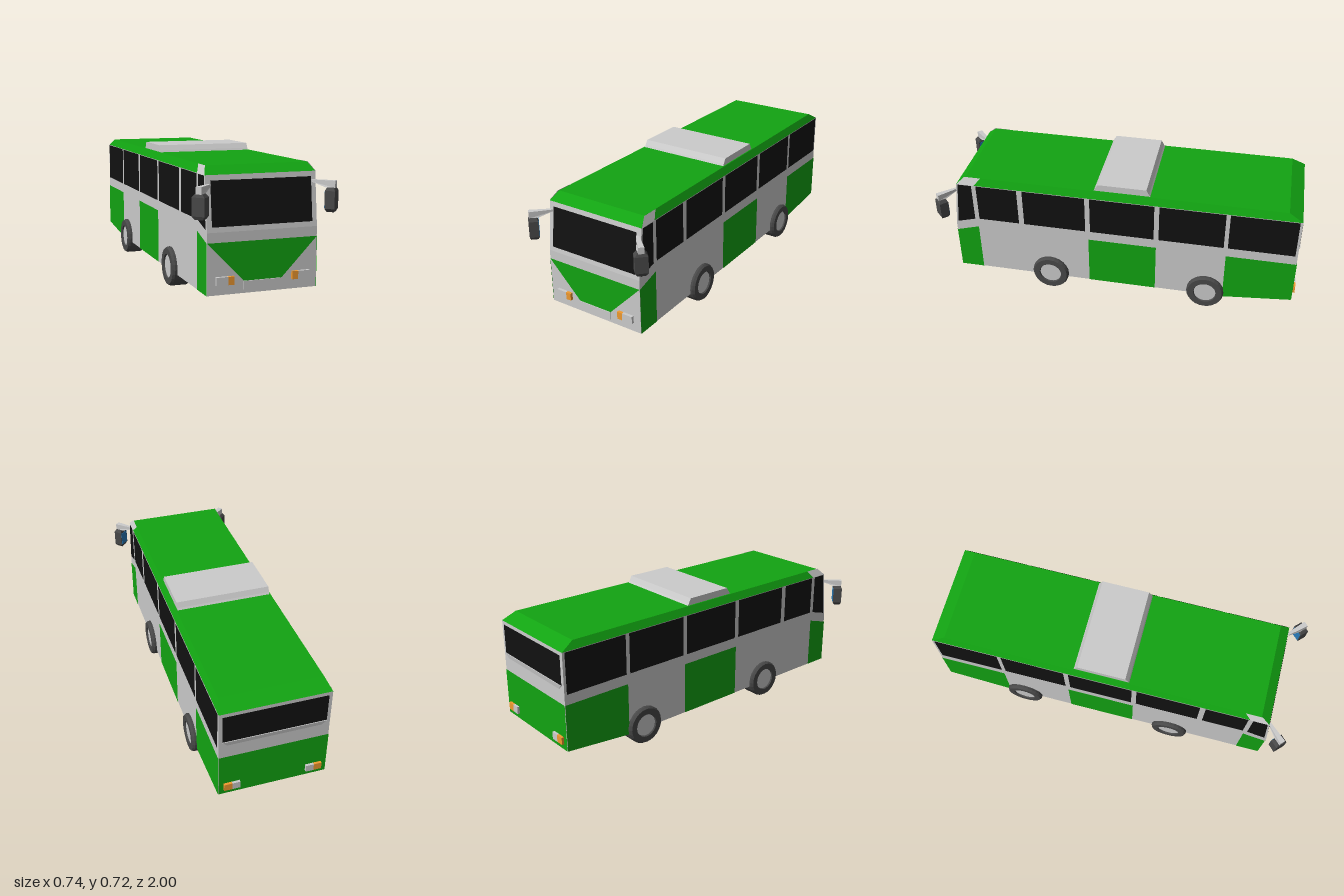
import * as THREE from 'three';

const GREY = 0xcccccc, GREEN = 0x12a412, GLASS = 0x111111, RUBBER = 0x484848, ORANGE = 0xf09a30, BLUE = 0x2a7ab8;

const W = 0.283;                      // half width of the body
const E = 0.002;                      // how far painted panels stand off the body
const frontZ = y => 0.91 - 0.03 * Math.max(0, (y - 0.375) / 0.265);   // raked windscreen

function mesh(name, geometry, color, parent, side = THREE.FrontSide) {
  const m = new THREE.Mesh(geometry, new THREE.MeshStandardMaterial({ color, flatShading: true, side }));
  m.name = name;
  parent.add(m);
  return m;
}

function buffer(points, index) {
  let g = new THREE.BufferGeometry();
  g.setAttribute('position', new THREE.Float32BufferAttribute(points.flat(), 3));
  g.setIndex(index);
  g = g.toNonIndexed();
  g.computeVertexNormals();
  return g;
}

// flat convex panel through a few corners
function panel(name, color, points, parent) {
  const index = [];
  for (let i = 1; i < points.length - 1; i++) index.push(0, i, i + 1);
  return mesh(name, buffer(points, index), color, parent, THREE.DoubleSide);
}

// stacked rectangles, each [y, x0, x1, z0, z1], joined and capped
function loft(levels) {
  const points = [], index = [];
  for (const [y, x0, x1, z0, z1] of levels) points.push([x0, y, z1], [x1, y, z1], [x1, y, z0], [x0, y, z0]);
  for (let l = 0; l < levels.length - 1; l++) {
    for (let i = 0; i < 4; i++) {
      const a = l * 4 + i, b = l * 4 + (i + 1) % 4;
      index.push(a, b, b + 4, a, b + 4, a + 4);
    }
  }
  const t = (levels.length - 1) * 4;
  index.push(t, t + 1, t + 2, t, t + 2, t + 3, 0, 2, 1, 0, 3, 2);
  return buffer(points, index);
}

function box(name, color, x0, x1, y0, y1, z0, z1, parent) {
  const m = mesh(name, new THREE.BoxGeometry(x1 - x0, y1 - y0, z1 - z0), color, parent);
  m.position.set((x0 + x1) / 2, (y0 + y1) / 2, (z0 + z1) / 2);
}

function polygon(points) {
  return new THREE.Shape(points.map(p => new THREE.Vector2(...p)));
}

function addSide(s, parent) {
  const flat = (name, color, zy) => panel(name, color, zy.map(([z, y]) => [s * (W + E), y, z]), parent);
  // windows
  for (const [z0, z1] of [[0.77, 0.54], [0.51, 0.163], [0.136, -0.216], [-0.243, -0.595], [-0.617, -0.972]]) {
    flat('sideWindow', GLASS, [[z0, 0.42], [z1, 0.42], [z1, 0.638], [z0, 0.638]]);
  }
  flat('driverWindow', GLASS, [[0.897, 0.388], [0.795, 0.417], [0.795, 0.638], [0.872, 0.638]]);
  // painted blocks
  flat('frontSidePaint', GREEN, [[0.91, 0.077], [0.78, 0.077], [0.78, 0.365], [0.91, 0.327]]);
  flat('middleSidePaint', GREEN, [[0.147, 0.077], [-0.23, 0.077], [-0.23, 0.365], [0.147, 0.365]]);
  flat('rearSidePaint', GREEN, [[-0.61, 0.077], [-0.985, 0.115], [-0.985, 0.365], [-0.61, 0.365]]);
  // unpainted corner of the roof bevel
  panel('roofCorner', GREY, [
    [s * (W + E), 0.64, 0.88], [s * (W + E), 0.64, 0.78],
    [s * (0.264 + E), 0.681, 0.745], [s * (0.264 + E), 0.681, 0.835]], parent);
}

function addWheel(s, z, parent) {
  const wheel = new THREE.Group();
  wheel.name = 'wheel';
  const profile = [[0, 0], [0.094, 0], [0.1035, 0.012], [0.1035, 0.095], [0.096, 0.107], [0.064, 0.107], [0.06, 0.098]]
    .map(p => new THREE.Vector2(...p));
  mesh('tyre', new THREE.LatheGeometry(profile, 24), RUBBER, wheel);
  mesh('hub', new THREE.CylinderGeometry(0.062, 0.062, 0.02, 24), GREY, wheel).position.y = 0.089;
  wheel.position.set(s * 0.2, 0.1035, z);
  wheel.rotation.z = -s * Math.PI / 2;
  parent.add(wheel);
}

function addMirror(s, parent) {
  const mirror = new THREE.Group();
  mirror.name = 'mirror';
  // arm, widening towards the head
  const arm = new THREE.ExtrudeGeometry(
    polygon([[0, 0.59], [0.075, 0.566], [0.12, 0.566], [0.12, 0.6], [0, 0.6]]),
    { depth: 1, bevelEnabled: false }).translate(0, 0, -0.5);
  const p = arm.attributes.position;
  for (let i = 0; i < p.count; i++) p.setZ(i, p.getZ(i) * (0.014 + 0.016 * Math.min(1, p.getX(i) / 0.075)));
  arm.computeVertexNormals();
  mesh('mirrorArm', arm, GREY, mirror);
  // head with tapered ends, glass towards the driver
  mesh('mirrorHead', loft([
    [0.45, 0.082, 0.117, -0.02, 0.02], [0.466, 0.075, 0.124, -0.032, 0.032],
    [0.552, 0.075, 0.124, -0.032, 0.032], [0.567, 0.082, 0.117, -0.02, 0.02]]), RUBBER, mirror);
  box('mirrorGlass', BLUE, 0.073, 0.076, 0.47, 0.548, -0.028, 0.028, mirror);
  mirror.position.set(s * 0.262, 0, 0.886);
  mirror.rotation.y = s > 0 ? -Math.PI / 4 : -Math.PI * 3 / 4;
  parent.add(mirror);
}

export function createModel() {
  const bus = new THREE.Group();
  bus.name = 'bus';

  // body: side outline swept across the width
  const outline = [[0.91, 0.077], [0.91, 0.375], [0.88, 0.64], [-0.985, 0.64], [-0.985, 0.115], [-0.61, 0.077]];
  const body = new THREE.ExtrudeGeometry(polygon(outline.map(([z, y]) => [-z, y])), { depth: 2 * W, bevelEnabled: false });
  body.rotateY(Math.PI / 2).translate(-W, 0, 0);
  mesh('body', body, GREY, bus);

  // roof and roof unit
  mesh('roof', loft([[0.64, -W, W, -0.985, 0.88], [0.68, -0.264, 0.264, -0.912, 0.83]]), GREEN, bus);
  mesh('roofUnit', loft([[0.678, -0.258, 0.258, -0.19, 0.117], [0.69, -0.258, 0.258, -0.182, 0.111],
    [0.717, -0.258, 0.258, -0.168, 0.094]]), GREY, bus);

  // front face
  const front = (name, color, xy) => panel(name, color, xy.map(([x, y]) => [x, y, frontZ(y) + E]), bus);
  front('windscreen', GLASS, [[-0.258, 0.4], [0.258, 0.4], [0.258, 0.615], [-0.258, 0.615]]);
  front('frontPaint', GREEN, [[-0.098, 0.137], [0.098, 0.137], [W, 0.327], [-W, 0.327]]);
  box('numberPlate', GREY, -0.098, 0.098, 0.095, 0.136, 0.9, 0.915, bus);

  // rear face
  const rear = (name, color, xy, z = -0.985 - E) => panel(name, color, xy.map(([x, y]) => [x, y, z]), bus);
  rear('rearWindow', GLASS, [[-0.265, 0.465], [0.265, 0.465], [0.265, 0.622], [-0.265, 0.622]]);
  rear('rearPaint', GREEN, [[-W, 0.115], [W, 0.115], [W, 0.365], [-W, 0.365]]);
  mesh('rearSill', loft([[0.44, -0.24, 0.24, -0.987, -0.975], [0.465, -0.265, 0.265, -0.991, -0.975]]), GREY, bus);

  // lamps, wheels, mirrors and side panels on both sides
  for (const s of [-1, 1]) {
    const lamp = (name, color, a, b, y, z0, z1) =>
      box(name, color, Math.min(s * a, s * b), Math.max(s * a, s * b), y, y + 0.04, z0, z1, bus);
    lamp('headlamp', GREY, 0.18, 0.24, 0.125, 0.9, 0.925);
    lamp('frontIndicator', ORANGE, 0.15, 0.18, 0.125, 0.9, 0.925);
    lamp('tailLamp', GREY, 0.173, 0.215, 0.145, -1, -0.975);
    lamp('rearIndicator', ORANGE, 0.215, 0.257, 0.145, -1, -0.975);
    addSide(s, bus);
    for (const z of [0.372, -0.513]) addWheel(s, z, bus);
    addMirror(s, bus);
  }
  return bus;
}
